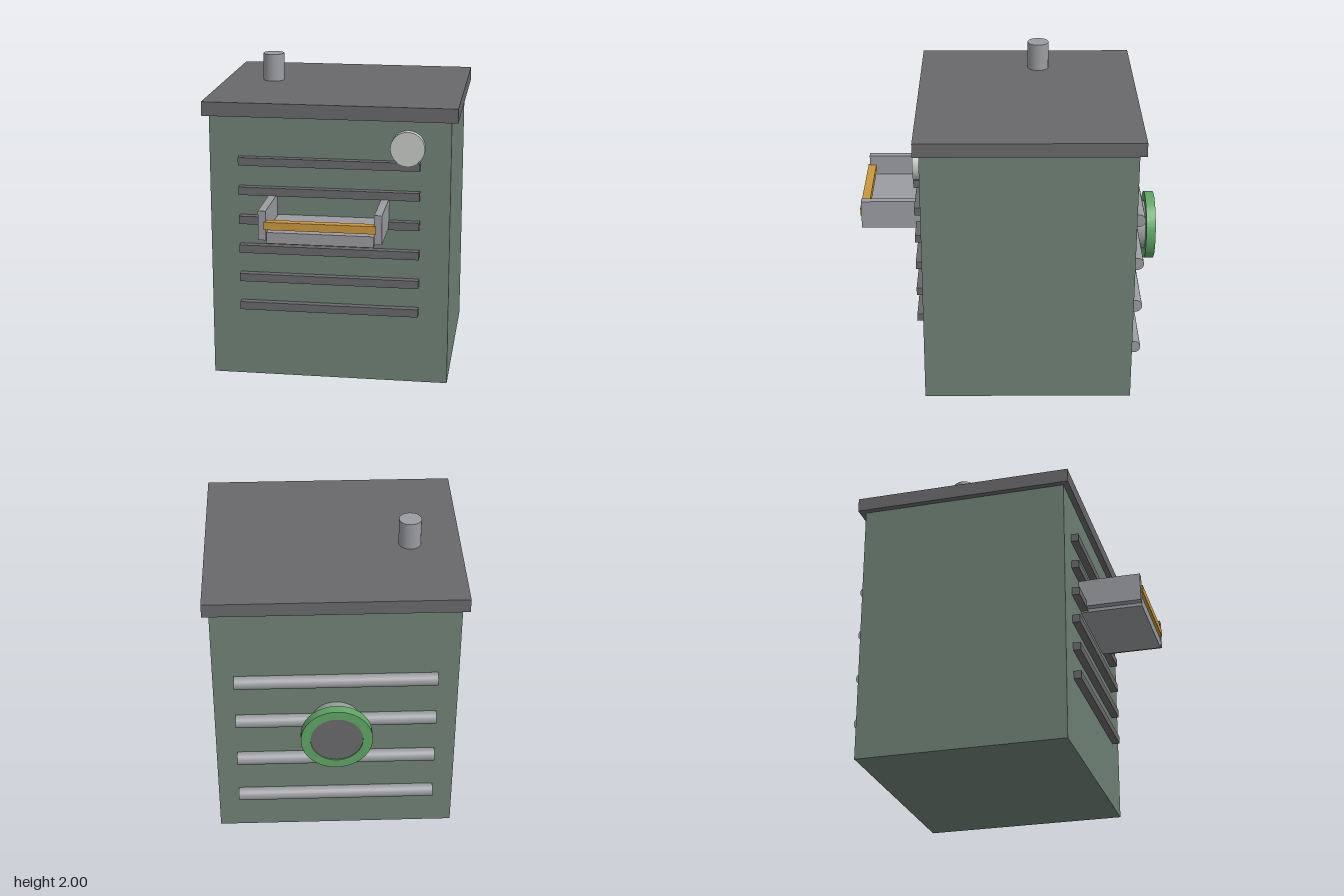
import * as THREE from 'three';

const mat = (name, color) => {
  const m = new THREE.MeshStandardMaterial({ color });
  m.name = name;
  return m;
};

export function createModel() {
  const group = new THREE.Group();
  group.name = 'ventilatedCabinet';
  const sage = mat('sage green', 0x6f8175);
  const charcoal = mat('charcoal', 0x69686b);
  const steel = mat('steel grey', 0x9b9ca1);
  const pale = mat('pale grey', 0xc8cbc8);
  const amber = mat('amber', 0xca973c);
  const green = mat('bright green', 0x5fa563);

  const add = (name, geometry, material) => {
    const mesh = new THREE.Mesh(geometry, material);
    mesh.name = name;
    group.add(mesh);
    return mesh;
  };
  // Box given by its limits on each axis
  const box = (name, material, [x0, x1], [y0, y1], [z0, z1]) =>
    add(name, new THREE.BoxGeometry(x1 - x0, y1 - y0, z1 - z0), material)
      .position.set((x0 + x1) / 2, (y0 + y1) / 2, (z0 + z1) / 2);
  // Cylinder lying along z
  const disc = (name, material, r, x, y, z0, z1) =>
    add(name, new THREE.CylinderGeometry(r, r, z1 - z0, 32).rotateX(Math.PI / 2), material)
      .position.set(x, y, (z0 + z1) / 2);

  // Cabinet, lid and chimney
  box('body', sage, [-0.765, 0.765], [0, 1.73], [-0.785, 0.555]);
  box('lid', charcoal, [-0.805, 0.805], [1.73, 1.82], [-0.825, 0.592]);
  add('chimney', new THREE.CylinderGeometry(0.071, 0.071, 0.18, 20), steel)
    .position.set(-0.485, 1.91, -0.195);

  // Front louvre slats
  for (let i = 0; i < 6; i++) {
    const y = 0.485 + i * 0.192;
    box('slat', charcoal, [-0.575, 0.575], [y - 0.026, y + 0.026], [0.54, 0.603]);
  }

  // Round gauge
  disc('gauge', pale, 0.108, 0.496, 1.56, 0.54, 0.605);

  // Open tray with an amber front rail
  box('trayFloor', steel, [-0.33, 0.33], [1.025, 1.095], [0.54, 0.954]);
  for (const s of [-1, 1]) {
    const xs = [s * 0.333, s * 0.381].sort((a, b) => a - b);
    box('traySide', steel, xs, [1.045, 1.23], [0.54, 0.956]);
  }
  box('trayRail', amber, [-0.345, 0.345], [1.114, 1.163], [0.912, 0.966]);

  // Rear pipes
  for (let i = 0; i < 4; i++) {
    add('rearPipe', new THREE.CylinderGeometry(0.042, 0.042, 1.265, 24).rotateZ(Math.PI / 2), steel)
      .position.set(0, 0.29 + i * 0.308, -0.81);
  }

  // Rear outlet: duct, flanged ring and grille
  disc('outletDuct', steel, 0.16, 0, 0.868, -0.915, -0.77);
  const ring = new THREE.Shape().absarc(0, 0, 0.225, 0, Math.PI * 2);
  ring.holes.push(new THREE.Path().absarc(0, 0, 0.165, 0, Math.PI * 2, true));
  add('outletRing', new THREE.ExtrudeGeometry(ring, { depth: 0.061, bevelEnabled: false, curveSegments: 32 }), green)
    .position.set(0, 0.868, -0.966);
  disc('outletGrille', charcoal, 0.165, 0, 0.868, -0.96, -0.906);

  return group;
}
